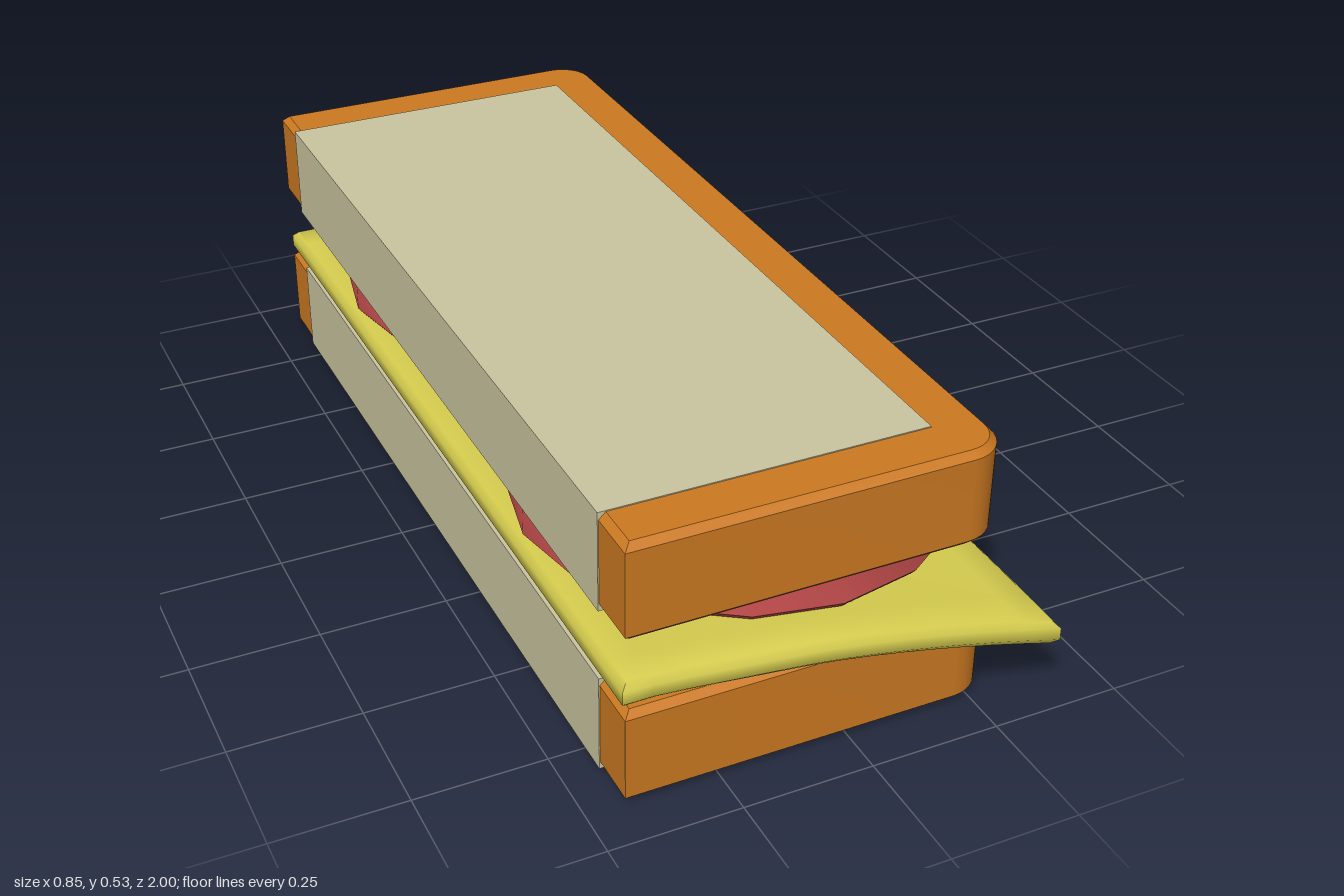
import * as THREE from 'three';
import { toCreasedNormals } from 'three/addons/utils/BufferGeometryUtils.js';

const paint = (name, color) => {
  const m = new THREE.MeshStandardMaterial({ color });
  m.name = name;
  return m;
};

export function createModel() {
  const crust = paint('crust', 0xcd7a22);
  const crumb = paint('crumb', 0xcbc6a0);
  const cheeseYellow = paint('cheese yellow', 0xd4cb4e);
  const rind = paint('sausage rind', 0xcf5252);
  const meat = paint('sausage meat', 0xd08a8c);
  const fat = paint('sausage fat', 0xc9c5a2);

  const model = new THREE.Group();
  model.name = 'halfSandwich';
  const add = (parent, name, geometry, material, x = 0, y = 0, z = 0) => {
    const mesh = new THREE.Mesh(geometry, material);
    mesh.name = name;
    mesh.position.set(x, y, z);
    parent.add(mesh);
    return mesh;
  };

  // Bread: crust slab with rounded outer corners, pale core showing on the cut face
  const X0 = -0.428, X1 = 0.29, Z = 0.912, R = 0.075, H = 0.195, bevel = 0.013;
  const outline = new THREE.Shape();
  outline.moveTo(X0, -Z);
  outline.lineTo(X1 - R, -Z);
  outline.absarc(X1 - R, -Z + R, R, -Math.PI / 2, 0, false);
  outline.absarc(X1 - R, Z - R, R, 0, Math.PI / 2, false);
  outline.lineTo(X0, Z);
  outline.closePath();
  const slab = toCreasedNormals(new THREE.ExtrudeGeometry(outline, {
    depth: H - 0.004 - 2 * bevel, curveSegments: 4,
    bevelThickness: bevel, bevelSize: bevel, bevelOffset: -bevel, bevelSegments: 1,
  }), 0.5);
  slab.rotateX(-Math.PI / 2);
  const core = new THREE.BoxGeometry(0.62, H, 1.62);

  for (const [name, y] of [['bottomBread', 0], ['topBread', 0.335]]) {
    const bread = new THREE.Group();
    bread.name = name;
    bread.position.y = y;
    add(bread, 'crust', slab, crust, 0, 0.002 + bevel, 0);
    add(bread, 'crumb', core, crumb, -0.12, H / 2, 0);
    model.add(bread);
  }

  // Cheese: thin sheet with bevelled rim, flared and drooping at the two outer corners
  const cheese = new THREE.BoxGeometry(1, 3, 2, 14, 3, 28);
  const p = cheese.attributes.position;
  for (let i = 0; i < p.count; i++) {
    const u = p.getX(i) + 0.5, v = p.getZ(i), level = p.getY(i);
    const outer = Math.abs(level) > 1;
    let x = -0.43 + u * (0.71 + 0.085 * Math.abs(v) ** 1.5);
    let z = v * (0.905 + 0.095 * Math.max(0, (u - 0.09) / 0.91));
    const droop = 0.055 * Math.max(0, (x + 0.1) / 0.465) ** 1.5
      * Math.max(0, (Math.abs(z) - 0.5) / 0.5) ** 1.5;
    if (outer) {
      x -= 0.012 * (2 * u - 1);
      z -= 0.012 * v;
    }
    p.setXYZ(i, x, 0.221 + Math.sign(level) * (outer ? 0.024 : 0.012) - droop, z);
  }
  add(model, 'cheeseSlice', toCreasedNormals(cheese, 0.9), cheeseYellow);

  // Sausage slices: sixteen-sided discs with a coloured rind and fat spots
  const sides = 16, r = 0.42, t = 0.087;
  const rim = [[0.392, 0], [0.41, 0], [r, 0.012], [r, t - 0.012], [0.41, t], [0.392, t]];
  const rindGeo = toCreasedNormals(
    new THREE.LatheGeometry(rim.map(q => new THREE.Vector2(...q)), sides), 0.5);
  const meatGeo = new THREE.CylinderGeometry(0.394, 0.394, t, sides);
  const spots = [[0.245, -0.08, 0.062], [0.13, 0.2, 0.07], [-0.01, -0.22, 0.058],
    [-0.13, 0.07, 0.068], [-0.27, -0.06, 0.058], [0.05, 0.02, 0.05]];
  for (const [name, z, turn] of [['frontSausage', 0.45, 0], ['backSausage', -0.47, Math.PI]]) {
    const slice = new THREE.Group();
    slice.name = name;
    slice.position.set(0.003, 0.245, z);
    slice.rotation.y = turn;
    add(slice, 'rind', rindGeo, rind);
    add(slice, 'meat', meatGeo, meat, 0, t / 2, 0);
    for (const [sx, sz, sr] of spots) {
      add(slice, 'fatSpot', new THREE.CylinderGeometry(sr * 0.9, sr, 0.009, 10), fat, sx, t + 0.004, sz);
    }
    model.add(slice);
  }
  return model;
}
